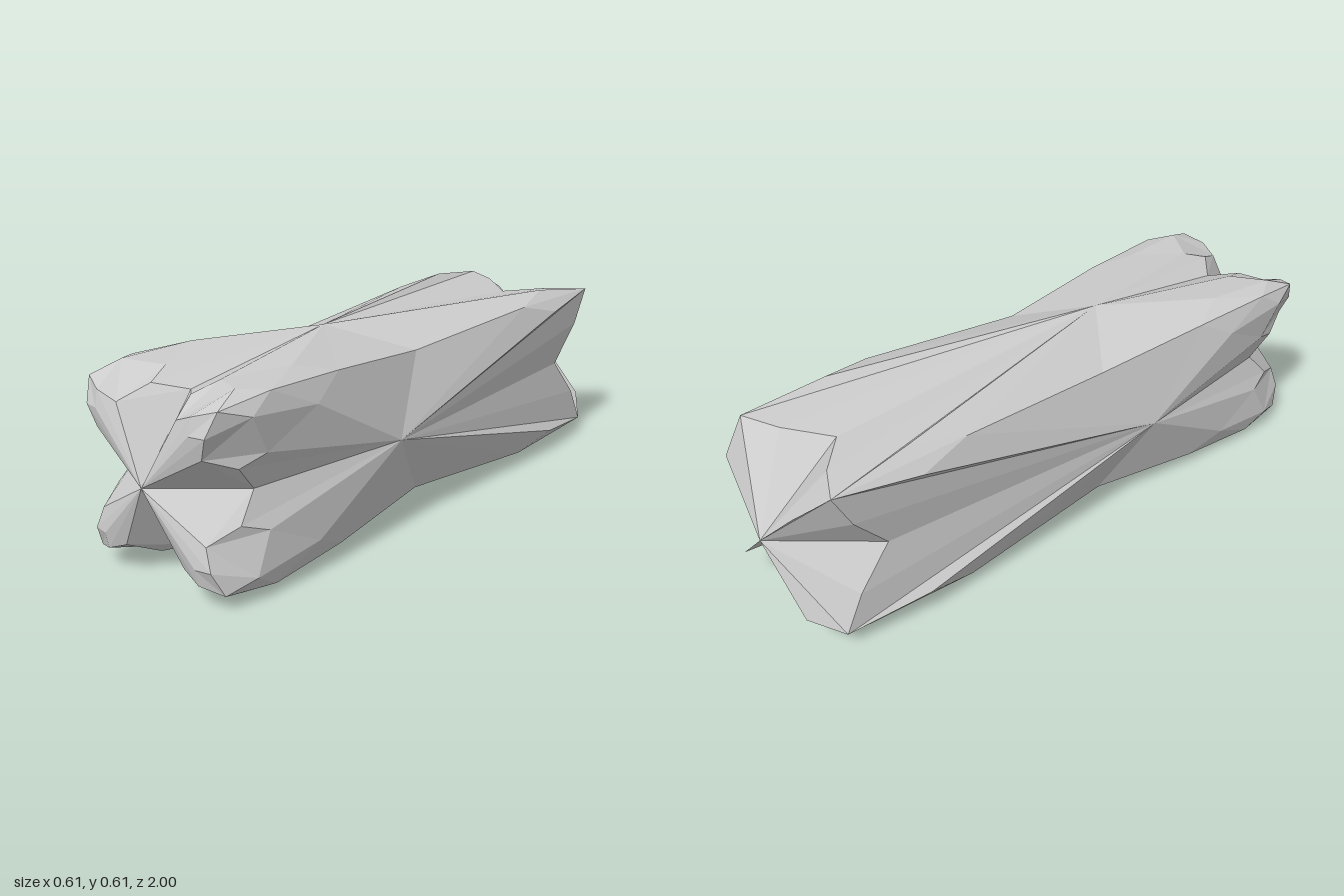
import * as THREE from 'three';

// Corner points of one sixteenth of the body: x >= 0, y >= x, long axis on z
const P = {
  // shallow peaks at the middle of the top, front end and back end
  top: [0, 0.304, 0.27], front: [0, 0, 1], back: [0, 0, -1],
  // valley points between the lobes
  topFront: [0, 0.23, 0.81], topBack: [0, 0.235, -0.72], topSide: [0.226, 0.226, 0.1],
  // back lobe
  b1: [0.13, 0.246, -0.83], b2: [0.25, 0.25, -0.89], b3: [0.185, 0.185, -0.98],
  b4: [0.22, 0.287, -0.62], b5: [0.262, 0.262, -0.45],
  // front lobe with its rounded, faceted tip
  f1: [0.08, 0.25, 0.88], f2: [0.12, 0.21, 0.97], f3: [0.11, 0.277, 0.8],
  f4: [0.2, 0.293, 0.62], f5: [0.262, 0.262, 0.5], f6: [0.275, 0.275, 0.78],
  tip1: [0.185, 0.185, 0.99], tip2: [0.255, 0.255, 0.95],
  tip3: [0.225, 0.288, 0.86], tip4: [0.185, 0.235, 0.98],
};

// Facets, counter-clockwise seen from outside
const BACK_LOBE = ['back topBack b1 b2 b3', 'top b2 b1 topBack', 'top b4 b2',
  'top topSide b5 b4', 'b2 b4 b5'];
const FRONT_LOBE = ['top f4 f5 topSide', 'top f3 f4', 'top topFront f1 f3',
  'f4 tip3 f6 f5', 'f3 tip3 f4', 'f3 f1 f2 tip3', 'f1 topFront f2',
  'topFront front f2', 'front tip1 tip4 f2', 'f2 tip4 tip3',
  'tip4 tip1 tip2', 'tip4 tip2 tip3', 'tip3 tip2 f6'];

// One lobe: the facets plus their reflection across the diagonal, placed in a quadrant
function lobe(name, facets, sx, sy, material) {
  const positions = [];
  for (const swap of [false, true]) {
    const flip = (sx * sy < 0) !== swap;
    for (const facet of facets) {
      const ring = facet.split(' ').map((key) => {
        const [x, y, z] = P[key];
        return swap ? [sx * y, sy * x, z] : [sx * x, sy * y, z];
      });
      if (flip) ring.reverse();
      // start the fan at the same corner in every reflection
      if (flip) ring.unshift(ring.pop());
      for (let i = 1; i < ring.length - 1; i++) {
        positions.push(...ring[0], ...ring[i], ...ring[i + 1]);
      }
    }
  }
  const geometry = new THREE.BufferGeometry();
  geometry.setAttribute('position', new THREE.Float32BufferAttribute(positions, 3));
  geometry.computeVertexNormals();
  const mesh = new THREE.Mesh(geometry, material);
  mesh.name = name;
  return mesh;
}

export function createModel() {
  const group = new THREE.Group();
  group.name = 'facetedCrystal';
  const material = new THREE.MeshStandardMaterial({ color: 0xcccccc, flatShading: true });
  const body = new THREE.Group();
  body.name = 'lobes';
  body.position.y = P.top[1];
  for (const sx of [1, -1]) {
    for (const sy of [1, -1]) {
      const place = (sy > 0 ? 'Upper' : 'Lower') + (sx > 0 ? 'Left' : 'Right');
      body.add(lobe('front' + place + 'Lobe', FRONT_LOBE, sx, sy, material));
      body.add(lobe('back' + place + 'Lobe', BACK_LOBE, sx, sy, material));
    }
  }
  group.add(body);
  return group;
}
